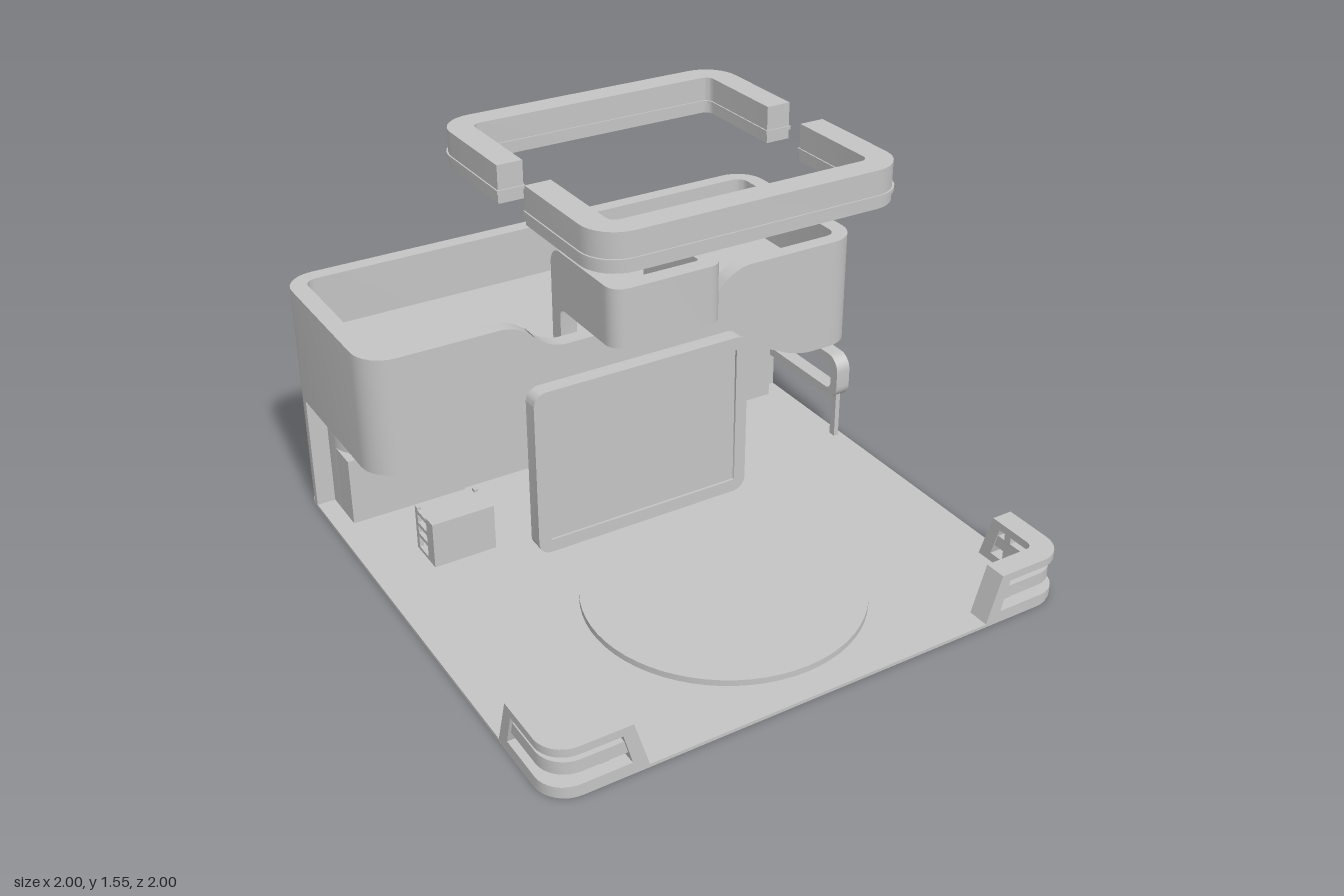
import * as THREE from 'three';
import { toCreasedNormals } from 'three/addons/utils/BufferGeometryUtils.js';

const grey = new THREE.MeshStandardMaterial({ color: 0xc4c4c4 });
grey.name = 'light grey';

// Polygon from [x, y, cornerRadius] points with rounded corners
function poly(pts, Kind = THREE.Shape) {
  const s = new Kind();
  const n = pts.length;
  pts.forEach((p, i) => {
    const toward = (q) => {
      const d = Math.hypot(q[0] - p[0], q[1] - p[1]);
      const t = (p[2] || 0) / d;
      return [p[0] + (q[0] - p[0]) * t, p[1] + (q[1] - p[1]) * t];
    };
    const a = toward(pts[(i + n - 1) % n]);
    const b = toward(pts[(i + 1) % n]);
    if (i === 0) s.moveTo(...a); else s.lineTo(...a);
    if (p[2]) {
      // circular-looking corner from a cubic curve
      const k = 0.55;
      const mix = (u) => [u[0] + (p[0] - u[0]) * k, u[1] + (p[1] - u[1]) * k];
      s.bezierCurveTo(...mix(a), ...mix(b), ...b);
    }
  });
  s.closePath();
  return s;
}

const rect = (x0, x1, y0, y1, r = 0, Kind) =>
  poly([[x0, y0, r], [x1, y0, r], [x1, y1, r], [x0, y1, r]], Kind);

function extrude(shape, depth) {
  const g = new THREE.ExtrudeGeometry(shape, { depth, bevelEnabled: false, curveSegments: 8 });
  return toCreasedNormals(g, 0.5);
}

function add(parent, name, geometry) {
  const m = new THREE.Mesh(geometry, grey);
  m.name = name;
  parent.add(m);
  return m;
}

// Plan outlines use [x, z] points, raised from y0 to y1
const planShape = (pts) => poly(pts.map(([x, z, r]) => [x, -z, r]));
const plan = (shape, y0, y1) => extrude(shape, y1 - y0).rotateX(-Math.PI / 2).translate(0, y0, 0);
// Front outlines use [x, y] points, running from z0 to z1
const front = (shape, z0, z1) => extrude(shape, z1 - z0).translate(0, 0, z0);
// Side outlines use [z, y] points, running from x0 to x1
const side = (pts, x0, x1) =>
  extrude(poly(pts.map(([z, y, r]) => [-z, y, r])), x1 - x0).rotateY(Math.PI / 2).translate(x0, 0, 0);

function box(parent, name, x0, x1, y0, y1, z0, z1) {
  const g = new THREE.BoxGeometry(x1 - x0, y1 - y0, z1 - z0);
  g.translate((x0 + x1) / 2, (y0 + y1) / 2, (z0 + z1) / 2);
  return add(parent, name, g);
}

function group(parent, name) {
  const g = new THREE.Group();
  g.name = name;
  parent.add(g);
  return g;
}

// Corner barrier at +x; the other is its mirror outline
function barrier(parent, s) {
  const g = group(parent, s > 0 ? 'leftBarrier' : 'rightBarrier');
  const band = (t0, t1, end) => planShape([
    [s * end, t1], [s * t1, t1, 0.1], [s * t1, end], [s * t0, end], [s * t0, t0, 0.03], [s * end, t0],
  ]);
  add(g, 'barrierFoot', plan(band(0.92, 1, 0.71), 0.01, 0.045));
  add(g, 'barrierTop', plan(band(0.92, 1, 0.74), 0.16, 0.19));
  add(g, 'barrierRail', plan(band(0.925, 0.99, 0.72), 0.083, 0.13));
  // sloped ends
  const slope = [[0.66, 0.01], [0.715, 0.19], [0.76, 0.19], [0.71, 0.01]];
  add(g, 'frontEnd', front(poly(slope.map(([x, y]) => [s * x, y])), 0.92, 1));
  add(g, 'sideEnd', side(slope, s > 0 ? 0.92 : -1, s > 0 ? 1 : -0.92));
  // small posts inside the slots
  for (const [x, z] of [[0.94, 0.79], [0.79, 0.94]]) {
    const px = s * x;
    box(g, 'barrierPost', px - 0.015, px + 0.015, 0.04, 0.165, z - 0.015, z + 0.015);
  }
}

// Half of the hanging ring, s = 1 in front and -1 behind
function halfRing(parent, s) {
  const g = group(parent, s > 0 ? 'frontHangingRing' : 'backHangingRing');
  const outline = (e) => planShape([
    [-0.555 - e, s * (0.095 - e)], [-0.555 - e, s * (0.555 + e), 0.12], [0.555 + e, s * (0.555 + e), 0.12],
    [0.555 + e, s * (0.095 - e)], [0.465 - e, s * (0.095 - e)], [0.465 - e, s * (0.465 - e), 0.03],
    [-0.465 + e, s * (0.465 - e), 0.03], [-0.465 + e, s * (0.095 - e)],
  ]);
  add(g, 'ringBand', plan(outline(0), 1.42, 1.55));
  add(g, 'ringBead', plan(outline(0.005), 1.453, 1.466));
}

export function createModel() {
  const model = new THREE.Group();
  model.name = 'exhibitionStand';

  // Floor
  add(model, 'basePlate', plan(rect(-1, 1, -1, 1, 0.11), 0, 0.012));
  const disc = new THREE.CylinderGeometry(0.5, 0.5, 0.025, 64);
  add(model, 'roundPlatform', disc.translate(0, 0.0225, 0.39));
  for (const s of [-1, 1]) barrier(model, s);

  // Display panel with a recessed face
  const screen = group(model, 'displayPanel');
  const frame = rect(-0.44, 0.44, 0.012, 0.67, 0.05);
  frame.holes.push(rect(-0.392, 0.392, 0.062, 0.62, 0.005, THREE.Path));
  add(screen, 'panelFrame', front(frame, -0.2, -0.14));
  box(screen, 'panelFace', -0.395, 0.395, 0.06, 0.622, -0.195, -0.15);

  // Upper tray: side and back walls
  const tray = group(model, 'upperTray');
  add(tray, 'trayWalls', plan(planShape([
    [-0.88, -0.23], [-1, -0.23, 0.115], [-1, -1, 0.115], [1, -1, 0.115], [1, -0.23, 0.115], [0.88, -0.23],
    [0.88, -0.29], [0.935, -0.29, 0.045], [0.935, -0.94, 0.045], [-0.935, -0.94, 0.045],
    [-0.935, -0.29, 0.045], [-0.88, -0.29],
  ]), 0.46, 0.9));
  // front wall dips at the top and arches at the bottom
  const arch = [[-0.88, 0.46], [-0.7, 0.46, 0.1], [-0.54, 0.578, 0.1],
    [0.54, 0.578, 0.1], [0.7, 0.46, 0.1], [0.88, 0.46]];
  add(tray, 'trayFront', front(poly([...arch,
    [0.88, 0.9], [0.42, 0.9, 0.085], [0.345, 0.783, 0.085],
    [-0.345, 0.783, 0.085], [-0.42, 0.9, 0.085], [-0.88, 0.9]]), -0.29, -0.23));
  // floor of the tray, with a slightly lower arched underside
  add(tray, 'trayFloor', front(poly([
    [-0.94, 0.452], [-0.67, 0.452, 0.1], [-0.52, 0.575, 0.1], [0.52, 0.575, 0.1], [0.67, 0.452, 0.1],
    [0.94, 0.452], [0.94, 0.7], [-0.94, 0.7]]), -0.7, -0.289));
  box(tray, 'trayFloorBack', -0.94, 0.94, 0.46, 0.7, -0.945, -0.69);

  // Lower back wall with a doorway
  const wall = group(model, 'backWall');
  add(wall, 'wallLeft', plan(planShape([
    [0.45, -1], [1, -1, 0.115], [1, -0.76], [0.93, -0.76], [0.93, -0.69], [0.45, -0.69],
  ]), 0.01, 0.462));
  add(wall, 'wallRight', plan(planShape([
    [-0.3, -0.69], [-0.85, -0.69], [-0.93, -0.76, 0.05], [-0.93, -0.87], [-1, -0.87], [-1, -1, 0.115], [-0.3, -1],
  ]), 0.01, 0.462));
  add(wall, 'doorway', front(poly([
    [-0.3, 0.01], [-0.17, 0.01], [-0.17, 0.445, 0.12], [0.32, 0.445, 0.12], [0.32, 0.01],
    [0.45, 0.01], [0.45, 0.5], [-0.3, 0.5]]), -1, -0.69));
  box(wall, 'wallLedge', -0.93, -0.48, 0.01, 0.277, -0.8, -0.682);
  // curved bracket under the tray
  const bracket = new THREE.Shape();
  bracket.moveTo(0.76, 0.46);
  bracket.lineTo(0.76, 0.39);
  bracket.quadraticCurveTo(0.755, 0.46, 0.69, 0.46);
  add(wall, 'wallBracket', extrude(bracket, 0.07).rotateY(Math.PI / 2).translate(0.93, 0, 0));

  // Side railing at the left
  const rail = group(model, 'sideRailing');
  const loop = poly([[0.77, 0.19], [0.77, 0.375], [0.245, 0.375, 0.06], [0.245, 0.19, 0.06]]);
  loop.holes.push(poly([[0.755, 0.225], [0.755, 0.34], [0.285, 0.34, 0.03], [0.285, 0.225, 0.03]], THREE.Path));
  add(rail, 'railLoop', extrude(loop, 0.06).rotateY(Math.PI / 2).translate(0.94, 0, 0));
  box(rail, 'railPost', 0.96, 0.98, 0.01, 0.2, -0.3, -0.27);

  // Small counter with open shelves behind
  const counter = group(model, 'shelfCounter');
  box(counter, 'counterFront', -0.79, -0.55, 0.01, 0.19, -0.325, -0.27);
  for (const y of [0.01, 0.07, 0.115, 0.165]) {
    box(counter, 'counterShelf', -0.79, -0.55, y, y + 0.015, -0.42, -0.32);
  }
  for (const x of [-0.79, -0.565]) {
    box(counter, 'counterPost', x, x + 0.015, 0.01, 0.19, -0.42, -0.4);
  }

  // Raised sign: front panel with two arms reaching back and down
  const sign = group(model, 'raisedSign');
  add(sign, 'signFront', plan(planShape([
    [-0.22, -0.05], [-0.22, 0.035, 0.06], [0.22, 0.035, 0.06], [0.22, -0.05],
    [0.155, -0.05], [0.155, -0.03, 0.015], [-0.155, -0.03, 0.015], [-0.155, -0.05],
  ]), 0.86, 1.08));
  for (const x of [-0.22, 0.155]) {
    add(sign, 'signArm', side([
      [-0.05, 0.86], [-0.05, 1.08], [-0.405, 1.08, 0.065], [-0.405, 0.69],
      [-0.345, 0.69], [-0.345, 0.86, 0.02],
    ], x, x + 0.065));
  }

  // Hanging ring in two halves
  for (const s of [-1, 1]) halfRing(model, s);

  return model;
}
